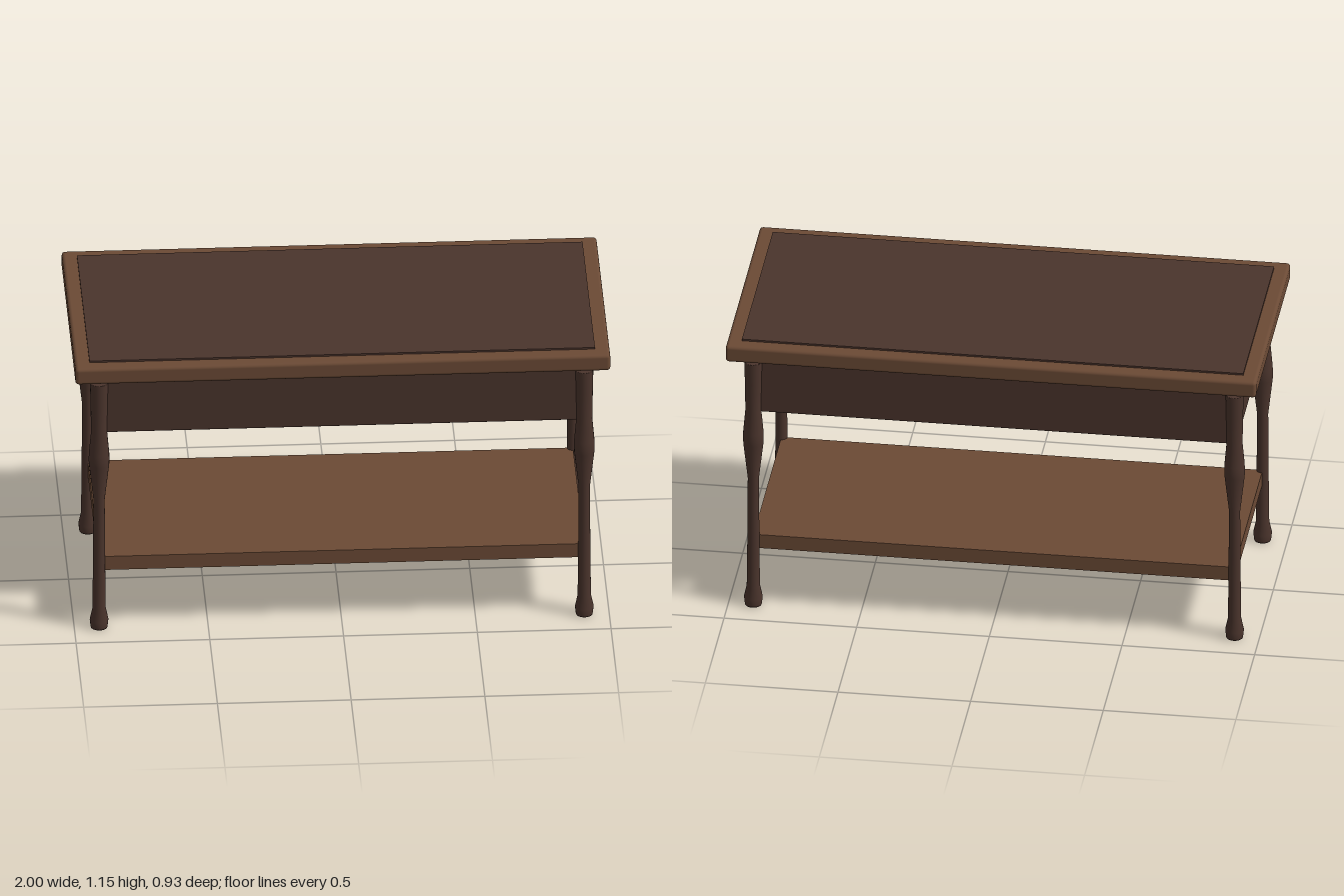
import * as THREE from 'three';
import { RoundedBoxGeometry } from 'three/addons/geometries/RoundedBoxGeometry.js';

const wood = new THREE.MeshStandardMaterial({ color: 0x6b4a35 });
const darkWood = new THREE.MeshStandardMaterial({ color: 0x4a342c });

// Board between two heights, centred on x and z; radius 0 gives sharp edges
function board(name, width, depth, y0, y1, material, radius = 0) {
  const h = y1 - y0;
  const geometry = radius
    ? new RoundedBoxGeometry(width, h, depth, 2, radius)
    : new THREE.BoxGeometry(width, h, depth);
  const mesh = new THREE.Mesh(geometry, material);
  mesh.name = name;
  mesh.position.y = (y0 + y1) / 2;
  return mesh;
}

export function createModel() {
  const table = new THREE.Group();
  table.name = 'table';

  // Top slab with a thin dark inlay, apron box and lower shelf
  table.add(
    board('tabletop', 2, 0.932, 1.076, 1.143, wood, 0.013),
    board('topInlay', 1.89, 0.826, 1.13, 1.15, darkWood),
    board('apron', 1.828, 0.76, 0.826, 1.061, darkWood, 0.006),
    board('lowerShelf', 1.814, 0.75, 0.24, 0.297, wood)
  );

  // Turned leg profile: [radius, height]
  const profile = [
    [0, 0], [0.031, 0], [0.032, 0.004], [0.035, 0.033], [0.025, 0.08],
    [0.023, 0.25], [0.021, 0.54], [0.038, 0.69], [0.039, 0.715], [0.038, 0.74],
    [0.03, 0.83], [0.032, 0.95], [0.034, 1.036], [0.033, 1.04], [0, 1.04]
  ].map(([r, y]) => new THREE.Vector2(r, y));
  const legGeometry = new THREE.LatheGeometry(profile, 20);

  for (const sx of [-1, 1]) {
    for (const sz of [-1, 1]) {
      const leg = new THREE.Mesh(legGeometry, darkWood);
      leg.name = (sz > 0 ? 'front' : 'back') + (sx > 0 ? 'Left' : 'Right') + 'Leg';
      leg.position.set(sx * 0.907, 0, sz * 0.375);
      table.add(leg);
    }
  }
  return table;
}
